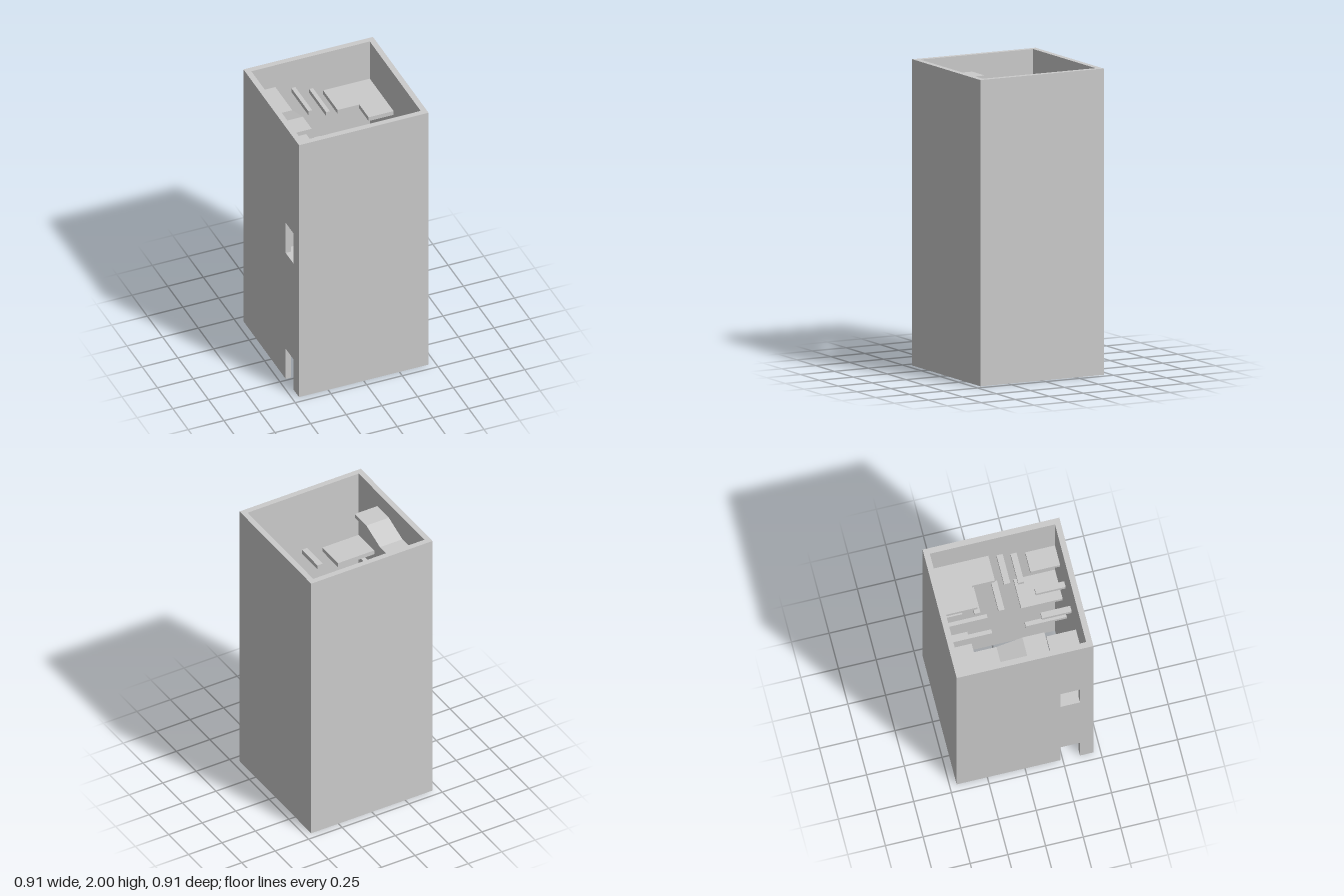
import * as THREE from 'three';

const R = 0.4535;   // outer half width
const IN = 0.415;   // inner half width
const H = 2;
const T = 0.03;     // slab thickness
const material = new THREE.MeshStandardMaterial({ color: 0xcccccc });

// Closed outline through [x, y] points
const outline = (pts, Type = THREE.Shape) => new Type(pts.map(([x, y]) => new THREE.Vector2(x, y)));

function add(parent, name, geometry) {
  const mesh = new THREE.Mesh(geometry, material);
  mesh.name = name;
  parent.add(mesh);
  return mesh;
}

// One wall facing +z, its inner ends mitred so the four walls meet cleanly
function wallGeometry(withOpenings) {
  const a = 0.235, b = 0.365, doorTop = 0.24;
  const pts = withOpenings
    ? [[-R, 0], [a, 0], [a, doorTop], [b, doorTop], [b, 0], [R, 0], [R, H], [-R, H]]
    : [[-R, 0], [R, 0], [R, H], [-R, H]];
  const shape = outline(pts);
  if (withOpenings) shape.holes.push(outline([[a, 1], [a, 1.24], [b, 1.24], [b, 1]], THREE.Path));
  const g = new THREE.ExtrudeGeometry(shape, { depth: R - IN, bevelEnabled: false });
  g.translate(0, 0, IN);
  const p = g.attributes.position;
  for (let i = 0; i < p.count; i++) {
    if (p.getZ(i) < IN + 0.001 && Math.abs(p.getX(i)) > R - 0.001) p.setX(i, Math.sign(p.getX(i)) * IN);
  }
  g.computeVertexNormals();
  return g;
}

// Flat slab with a plan outline of [x, z] points, top face at the given height
function slabGeometry(plan, top) {
  const g = new THREE.ExtrudeGeometry(outline(plan.map(([x, z]) => [x, -z])), { depth: T, bevelEnabled: false });
  return g.rotateX(-Math.PI / 2).translate(0, top - T, 0);
}

const rect = (x0, x1, z0, z1) => [[x0, z0], [x0, z1], [x1, z1], [x1, z0]];

export function createModel() {
  const model = new THREE.Group();
  model.name = 'stairTower';

  // Four walls; the one on -x holds the doorway and the upper opening
  const names = ['frontWall', 'leftWall', 'backWall', 'rightWall'];
  names.forEach((name, i) => {
    add(model, name, wallGeometry(i === 3)).rotation.y = i * Math.PI / 2;
  });

  // Winding stair: [name, top height, plan], climbing from the upper opening
  const stair = new THREE.Group();
  stair.name = 'stair';
  model.add(stair);
  const parts = [
    // lower turn
    ['entryLanding', 1.0, rect(-IN, -0.095, 0.185, IN)],
    ['step', 1.05, rect(-0.025, 0.005, 0.143, IN)],
    ['step', 1.10, rect(0.1, 0.13, 0.143, IN)],
    ['cornerLanding', 1.15, rect(0.21, IN, 0.14, IN)],
    ['step', 1.20, rect(0.21, IN, -0.01, 0.03)],
    ['step', 1.25, rect(0.21, IN, -0.17, -0.13)],
    ['cornerLanding', 1.30, rect(0.21, IN, -IN, -0.25)],
    ['step', 1.35, rect(0.027, 0.068, -IN, -0.253)],
    ['cornerLanding', 1.40, [[-IN, -IN], [-IN, -0.098], [-0.185, -0.098], [-0.185, -0.25], [-0.035, -0.25], [-0.035, -IN]]],
    ['step', 1.46, rect(-IN, -0.143, -0.02, 0.01)],
    // upper turn
    ['cornerLanding', 1.51, rect(-IN, -0.143, 0.218, IN)],
    ['step', 1.55, rect(-0.03, 0.01, 0.218, IN)],
    ['step', 1.585, rect(0.13, 0.17, 0.218, IN)],
    ['cornerLanding', 1.605, rect(0.277, IN, 0.218, IN)],
    ['step', 1.64, rect(0.21, IN, 0.12, 0.16)],
    ['step', 1.675, rect(0.21, IN, 0.027, 0.068)],
    ['cornerLanding', 1.705, [[0.088, -IN], [0.088, -0.18], [0.24, -0.18], [0.24, -0.027], [IN, -0.027], [IN, -IN]]],
    ['step', 1.743, rect(-0.01, 0.017, -IN, -0.138)],
    ['step', 1.787, rect(-0.135, -0.107, -IN, -0.138)],
  ];
  parts.forEach(([name, top, plan]) => add(stair, name, slabGeometry(plan, top)));

  // Top walkway: a flat, a ramp and a higher flat in one side profile of [z, y]
  const upper = [[-IN, 1.827], [-0.138, 1.827], [0.034, 1.89], [0.18, 1.89]];
  const lower = upper.map(([z, y]) => [z, y - T]).reverse();
  const width = IN - 0.247;
  const walkway = new THREE.ExtrudeGeometry(outline([...upper, ...lower]), { depth: width, bevelEnabled: false });
  walkway.rotateY(-Math.PI / 2).translate(-0.247, 0, 0);
  add(stair, 'topWalkway', walkway);

  return model;
}
